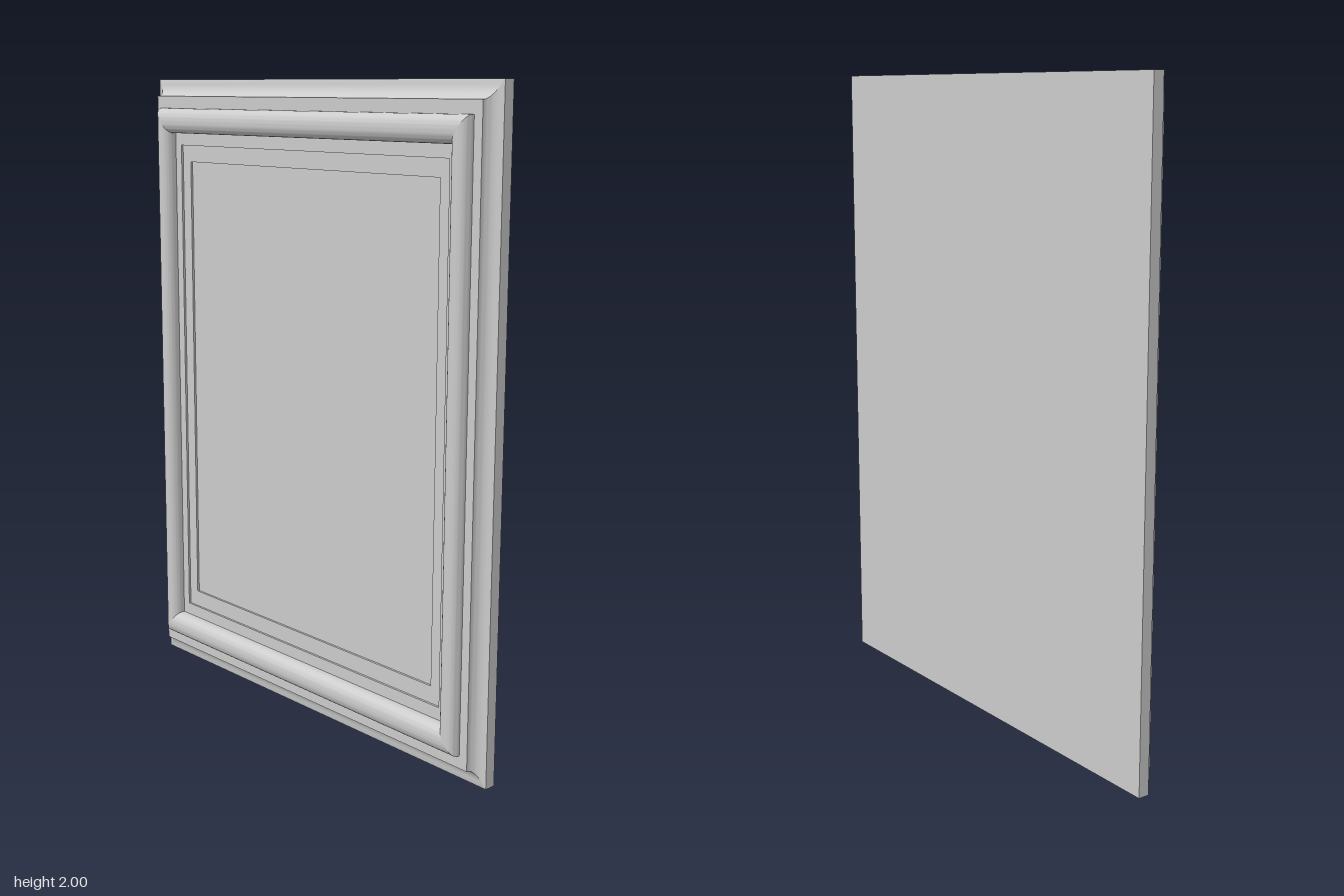
import * as THREE from 'three';
import { toCreasedNormals } from 'three/addons/utils/BufferGeometryUtils.js';

const HALF_W = 0.76, HALF_H = 1, BACK = -0.055, PANEL_Z = 0, PANEL_S = 0.737;
const material = new THREE.MeshStandardMaterial({ color: 0xcccccc });

// Elliptic arc of [scale, z] points
function arc(cs, cz, rs, rz, from, to, n) {
  return Array.from({ length: n + 1 }, (_, i) => {
    const t = from + ((to - from) * i) / n;
    return [cs + rs * Math.cos(t), cz + rz * Math.sin(t)];
  });
}

// Moulding sections, from the outside in: [fraction of the half size, z]
const outerEdge = [
  [1, BACK], [1, -0.02],
  ...arc(0.992, 0.017, 0.045, 0.035, Math.PI * 1.5, Math.PI, 8), // cove
  [0.947, 0.019], [0.908, 0.019],
];
const bead = [
  [0.908, 0.019],
  ...arc(0.872, 0.026, 0.036, 0.03, 0, Math.PI / 2, 10),
  ...arc(0.866, 0.026, 0.037, 0.03, Math.PI / 2, Math.PI, 10),
  [0.829, 0.014],
];
const innerSteps = [
  [0.829, 0.014], [0.79, 0.014], [0.79, 0.007],
  [PANEL_S, 0.007], [PANEL_S, PANEL_Z],
];

const corners = [[-1, -1], [1, -1], [1, 1], [-1, 1]];
const sides = ['bottom', 'left', 'top', 'right'];

// One mitred rail: the section swept between two neighbouring corners
function rail(section, k) {
  const a = corners[k], b = corners[(k + 1) % 4];
  const at = (c, [s, z]) => [c[0] * HALF_W * s, HALF_H + c[1] * HALF_H * s, z];
  const pos = [];
  for (let i = 0; i < section.length - 1; i++) {
    const a0 = at(a, section[i]), b0 = at(b, section[i]);
    const a1 = at(a, section[i + 1]), b1 = at(b, section[i + 1]);
    pos.push(...a0, ...b0, ...b1, ...a0, ...b1, ...a1);
  }
  const g = new THREE.BufferGeometry();
  g.setAttribute('position', new THREE.Float32BufferAttribute(pos, 3));
  return toCreasedNormals(g, 0.5);
}

function moulding(name, section) {
  const group = new THREE.Group();
  group.name = name;
  sides.forEach((side, k) => {
    const mesh = new THREE.Mesh(rail(section, k), material);
    mesh.name = `${side}Rail`;
    group.add(mesh);
  });
  return group;
}

function sheet(name, scale, z) {
  const mesh = new THREE.Mesh(
    new THREE.PlaneGeometry(2 * HALF_W * scale, 2 * HALF_H * scale), material);
  mesh.name = name;
  mesh.position.set(0, HALF_H, z);
  return mesh;
}

export function createModel() {
  const model = new THREE.Group();
  model.name = 'mouldedPanel';
  model.add(
    moulding('outerMoulding', outerEdge),
    moulding('roundedBead', bead),
    moulding('innerSteps', innerSteps),
    sheet('centrePanel', PANEL_S, PANEL_Z),
  );
  // Flat back, turned to face -z
  const back = sheet('backPanel', 1, BACK);
  back.rotation.y = Math.PI;
  model.add(back);
  return model;
}
